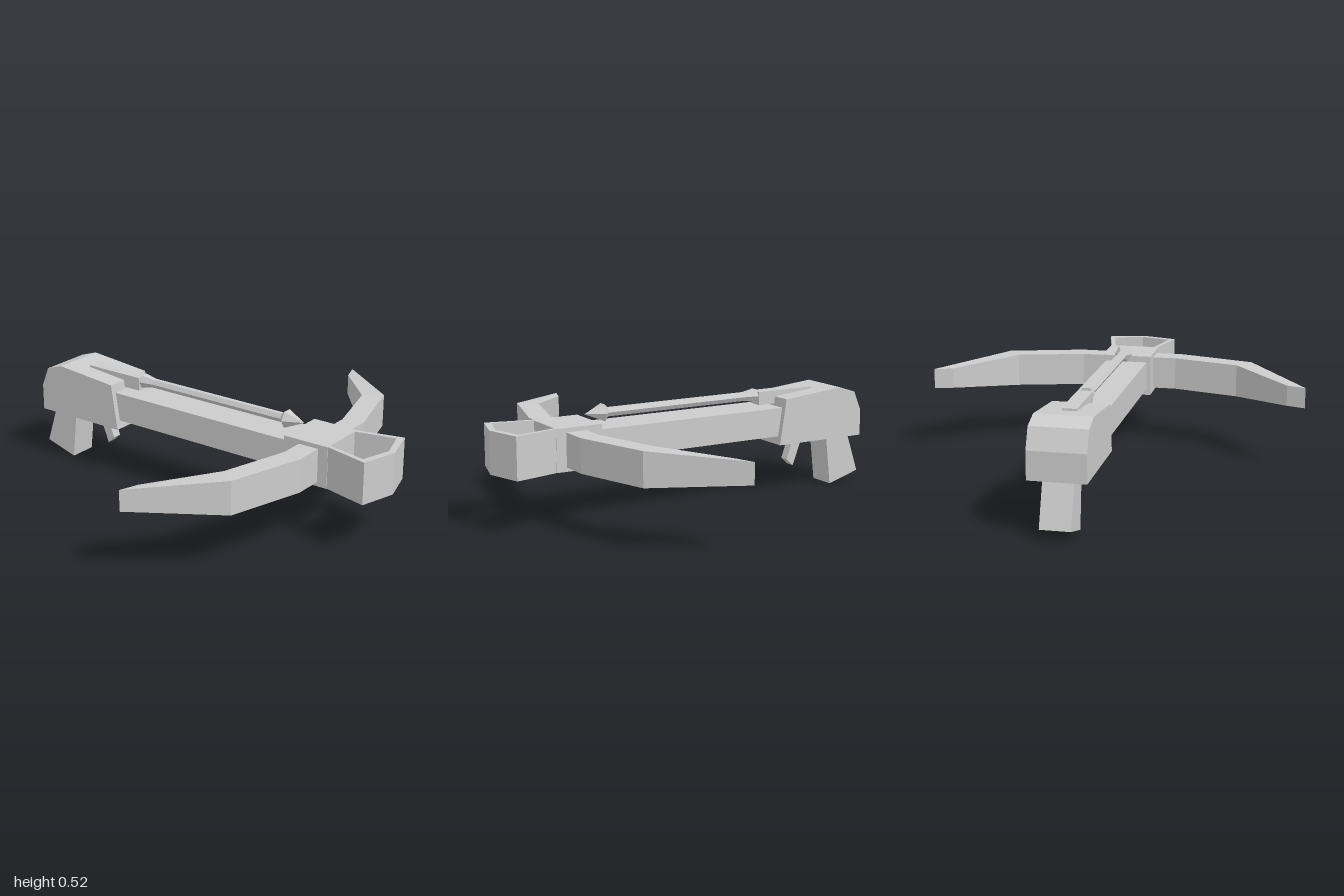
import * as THREE from 'three';

const material = new THREE.MeshStandardMaterial({ color: 0xcccccc, flatShading: true });

function addMesh(group, name, geometry) {
  const mesh = new THREE.Mesh(geometry, material);
  mesh.name = name;
  group.add(mesh);
}

function box(width, y0, y1, z0, z1) {
  return new THREE.BoxGeometry(width, y1 - y0, z1 - z0).translate(0, (y0 + y1) / 2, (z0 + z1) / 2);
}

// Side profile of [z, y] points, extruded across x
function sideProfile(points, width) {
  const shape = new THREE.Shape(points.map(([z, y]) => new THREE.Vector2(-z, y)));
  return new THREE.ExtrudeGeometry(shape, { depth: width, bevelEnabled: false })
    .translate(0, 0, -width / 2)
    .rotateY(Math.PI / 2);
}

// Plan outline of [x, z] points, extruded between two heights
function planProfile(points, y0, y1) {
  const shape = new THREE.Shape(points.map(([x, z]) => new THREE.Vector2(x, z)));
  return new THREE.ExtrudeGeometry(shape, { depth: y1 - y0, bevelEnabled: false })
    .rotateX(Math.PI / 2)
    .translate(0, y1, 0);
}

// Both bow limbs: rectangular sections swept from one tip to the other
function bowGeometry() {
  const midY = 0.36;
  // front x, front z, back x, back z, half height
  const half = [
    [0.265, 0.68, 0.24, 0.58, 0.08],
    [0.63, 0.575, 0.565, 0.49, 0.08],
    [0.93, 0.215, 0.84, 0.245, 0.05],
  ];
  const mirrored = half.map(([fx, fz, bx, bz, h]) => [-fx, fz, -bx, bz, h]).reverse();
  const rings = [...mirrored, ...half].map(([fx, fz, bx, bz, h]) => [
    [fx, midY - h, fz], [fx, midY + h, fz], [bx, midY + h, bz], [bx, midY - h, bz],
  ]);
  const positions = [];
  const quad = (a, b, c, d) => positions.push(...a, ...b, ...c, ...a, ...c, ...d);
  for (let i = 0; i < rings.length - 1; i++) {
    const a = rings[i], b = rings[i + 1];
    for (let k = 0; k < 4; k++) {
      const n = (k + 1) % 4;
      quad(a[k], b[k], b[n], a[n]);
    }
  }
  quad(...rings[0]);
  quad(...[...rings[rings.length - 1]].reverse());
  const geometry = new THREE.BufferGeometry();
  geometry.setAttribute('position', new THREE.Float32BufferAttribute(positions, 3));
  geometry.computeVertexNormals();
  return geometry;
}

// Six-sided bolt: flared tail, thin shaft, pointed head
function boltGeometry() {
  const profile = [
    [0, -0.41], [0.036, -0.41], [0.023, -0.34], [0.023, 0.41],
    [0.045, 0.43], [0, 0.525],
  ].map(([r, z]) => new THREE.Vector2(r, z));
  return new THREE.LatheGeometry(profile, 6, Math.PI / 6)
    .rotateX(Math.PI / 2)
    .translate(0, 0.485, 0);
}

export function createModel() {
  const model = new THREE.Group();
  model.name = 'crossbow';

  // Body
  addMesh(model, 'stock', box(0.21, 0.29, 0.43, -0.52, 0.52));
  addMesh(model, 'headBlock', box(0.25, 0.26, 0.46, 0.5, 0.73));
  addMesh(model, 'bowLimbs', bowGeometry());

  // Foot stirrup
  addMesh(model, 'stirrup', planProfile([
    [0.12, 0.72], [0.175, 0.945], [0, 0.995], [-0.175, 0.945], [-0.12, 0.72],
    [-0.1, 0.72], [-0.145, 0.92], [0, 0.965], [0.145, 0.92], [0.1, 0.72],
  ], 0.26, 0.46));

  // Rear housing, grip and trigger
  addMesh(model, 'rearHousing', sideProfile([
    [-0.475, 0.25], [-0.51, 0.475], [-0.835, 0.505],
    [-0.925, 0.475], [-0.965, 0.38], [-0.965, 0.25],
  ], 0.262));
  addMesh(model, 'grip', sideProfile([
    [-0.8, 0.26], [-0.83, 0], [-1, 0.05], [-0.93, 0.26],
  ], 0.138));
  addMesh(model, 'trigger', sideProfile([
    [-0.634, 0.26], [-0.593, 0.145], [-0.63, 0.11], [-0.688, 0.26],
  ], 0.046));

  // Latch and loaded bolt
  addMesh(model, 'latch', box(0.066, 0.44, 0.505, -0.73, -0.415));
  addMesh(model, 'bolt', boltGeometry());

  return model;
}
